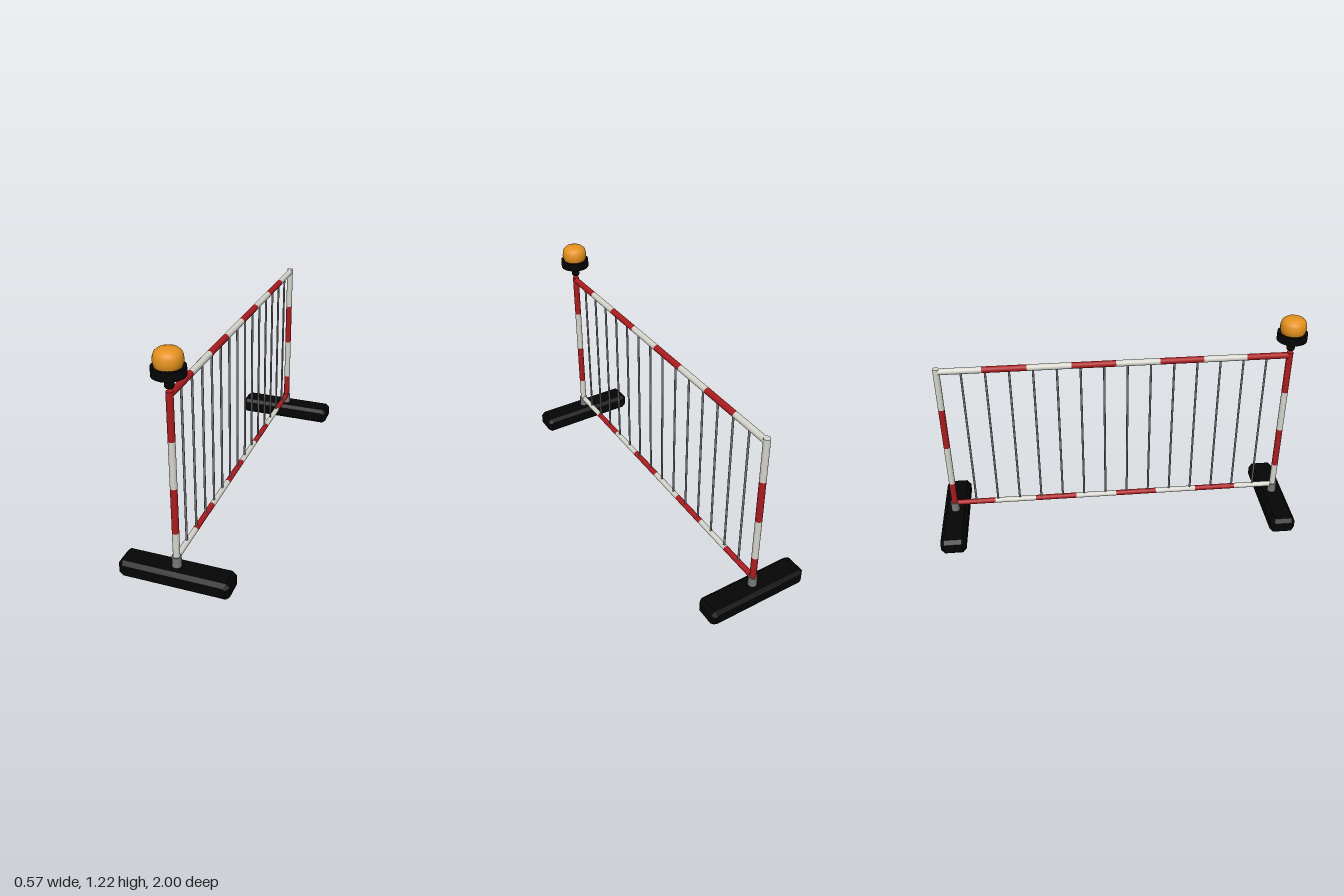
import * as THREE from 'three';

const mat = (name, color) => {
  const m = new THREE.MeshStandardMaterial({ color });
  m.name = name;
  return m;
};

export function createModel() {
  const red = mat('red', 0xab1c1f);
  const white = mat('offWhite', 0xd6d6ce);
  const black = mat('blackRubber', 0x050505);
  const steel = mat('greySteel', 0x7a7a7a);
  const amber = mat('amber', 0xe6921e);

  const model = new THREE.Group();
  model.name = 'barrier';
  const FRONT = 0.923, BACK = -0.93; // z of the end posts

  const add = (name, geo, material, parent = model) => {
    const m = new THREE.Mesh(geo, material);
    m.name = name;
    parent.add(m);
    return m;
  };

  // Striped tube between two points, alternating two materials
  const stripedTube = (name, from, to, radius, count, materials) => {
    const g = new THREE.Group();
    g.name = name;
    const dir = to.clone().sub(from);
    const len = dir.length() / count;
    const turn = new THREE.Quaternion().setFromUnitVectors(new THREE.Vector3(0, 1, 0), dir.clone().normalize());
    for (let i = 0; i < count; i++) {
      const seg = add(`${name}Stripe`, new THREE.CylinderGeometry(radius, radius, len, 20), materials[i % 2], g);
      seg.position.copy(from).addScaledVector(dir, (i + 0.5) / count);
      seg.quaternion.copy(turn);
    }
    model.add(g);
  };
  const v = (y, z) => new THREE.Vector3(0, y, z);

  // End posts and rails
  stripedTube('frontPost', v(1.02, FRONT), v(0.04, FRONT), 0.0175, 4, [red, white]);
  stripedTube('backPost', v(1.02, BACK), v(0.04, BACK), 0.0175, 4, [white, red]);
  stripedTube('topRail', v(1.002, FRONT), v(1.002, BACK), 0.0172, 8, [red, white]);
  stripedTube('bottomRail', v(0.142, FRONT), v(0.142, BACK), 0.0152, 8, [white, red]);

  // Thin upright bars
  for (let i = 1; i < 15; i++) {
    const bar = add('bar', new THREE.CylinderGeometry(0.0058, 0.0058, 0.86, 10), steel);
    bar.position.set(0, 0.572, FRONT + ((BACK - FRONT) * i) / 15);
  }

  // Chamfered rubber feet with steel sockets
  const X = 0.286, Y = 0.047, Z = 0.069, C = 0.02;
  const outline = new THREE.Shape([
    [-X + C, -Y], [X - C, -Y], [X, -Y + C], [X, Y - C],
    [X - C, Y], [-X + C, Y], [-X, Y - C], [-X, -Y + C],
  ].map(([x, y]) => new THREE.Vector2(x, y)));
  const footGeo = new THREE.ExtrudeGeometry(outline, {
    depth: 2 * (Z - C), bevelEnabled: true, bevelThickness: C, bevelSize: C, bevelOffset: -C, bevelSegments: 1,
  });
  footGeo.translate(0, Y, C - Z);
  for (const [name, z] of [['front', FRONT], ['back', BACK]]) {
    add(`${name}Foot`, footGeo, black).position.z = z;
    add(`${name}Socket`, new THREE.CylinderGeometry(0.024, 0.024, 0.08, 20), steel).position.set(0, 0.11, z);
  }

  // Warning lamp above the front post
  const lamp = new THREE.Group();
  lamp.name = 'lamp';
  lamp.position.z = 0.922;
  model.add(lamp);
  const lathe = (pts) => new THREE.LatheGeometry(pts.map(([r, y]) => new THREE.Vector2(r, y)), 32);
  add('lampStem', lathe([[0, 1.036], [0.018, 1.036], [0.022, 1.042], [0.022, 1.1]]), black, lamp);
  add('lampCollar', new THREE.CylinderGeometry(0.079, 0.079, 0.043, 32), black, lamp).position.y = 1.117;
  add('lampDome', lathe([
    [0.062, 1.136], [0.067, 1.151], [0.069, 1.166], [0.067, 1.187],
    [0.061, 1.203], [0.048, 1.215], [0.028, 1.221], [0, 1.223],
  ]), amber, lamp);

  return model;
}
